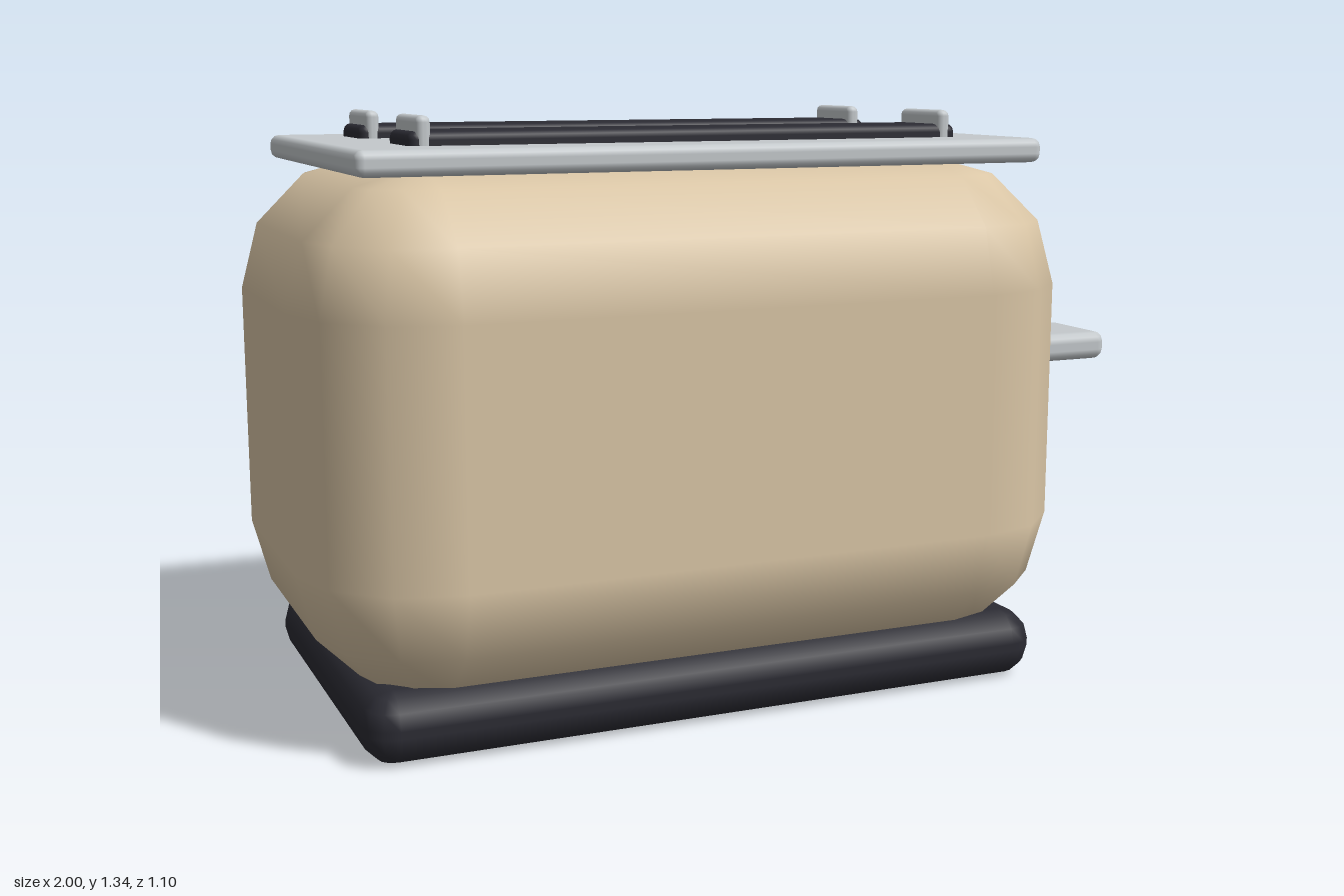
import * as THREE from 'three';

const cream = new THREE.MeshStandardMaterial({ name: 'cream enamel', color: 0xdac6a6 });
const steel = new THREE.MeshStandardMaterial({ name: 'brushed steel', color: 0xc4c9cc });
const dark = new THREE.MeshStandardMaterial({ name: 'dark plastic', color: 0x2b2b33 });

// Box with evenly stepped round edges: a sphere grid whose octants are pulled apart.
// Each corner has n steps of 90 / n degrees, and one column or row spans each flat.
function bevelledBox([x0, x1], [y0, y1], [z0, z1], r, n = 3) {
  const cols = 4 * (n + 1), rows = 2 * n + 3;
  const geometry = new THREE.SphereGeometry(1, cols, rows);
  const { position, normal } = geometry.attributes;
  const half = [(x1 - x0) / 2, (y1 - y0) / 2, (z1 - z0) / 2];
  const step = Math.PI / 2 / n;
  let v = 0;
  for (let j = 0; j <= rows; j++) {
    const isCap = j === 0 || j === rows;
    const top = j <= n + 1;
    const polar = (top ? Math.max(j - 1, 0) : Math.min(j - 2, 2 * n)) * step;
    for (let i = 0; i <= cols; i++, v++) {
      const q = Math.floor(i / (n + 1)) % 4;
      const turn = (q * n + (i % (n + 1))) * step;
      const nx = -Math.cos(turn) * Math.sin(polar);
      const ny = Math.cos(polar);
      const nz = Math.sin(turn) * Math.sin(polar);
      const sx = isCap ? 0 : (q === 1 || q === 2 ? 1 : -1);
      const sz = isCap ? 0 : (q < 2 ? 1 : -1);
      position.setXYZ(v,
        sx * (half[0] - r) + r * nx,
        (top ? 1 : -1) * (half[1] - r) + r * ny,
        sz * (half[2] - r) + r * nz);
      normal.setXYZ(v, nx, ny, nz);
    }
  }
  geometry.translate((x0 + x1) / 2, (y0 + y1) / 2, (z0 + z1) / 2);
  return geometry;
}

export function createModel() {
  const model = new THREE.Group();
  model.name = 'toaster';

  const add = (name, geometry, material) => {
    const mesh = new THREE.Mesh(geometry, material);
    mesh.name = name;
    model.add(mesh);
    return mesh;
  };

  // Housing, foot and top plate
  add('body', bevelledBox([-1, 0.805], [0.09, 1.23], [-0.55, 0.55], 0.295), cream);
  add('base', bevelledBox([-0.905, 0.715], [0, 0.157], [-0.47, 0.47], 0.07), dark);
  add('topPlate', bevelledBox([-0.89, 0.695], [1.22, 1.275], [-0.45, 0.45], 0.02), steel);

  // Two bread slots, each with a steel guide at both ends
  for (const z of [-0.22, 0.22]) {
    add('breadSlot', bevelledBox([-0.745, 0.55], [1.24, 1.305], [z - 0.088, z + 0.088], 0.018), dark);
    for (const x of [-0.713, 0.517]) {
      add('slotGuide', bevelledBox([x - 0.016, x + 0.016], [1.255, 1.337], [z - 0.091, z + 0.091], 0.014), steel);
    }
  }

  // Lever and its track on the left side
  add('leverTrack', bevelledBox([0.795, 0.855], [0.435, 0.955], [0.17, 0.22], 0.018), dark);
  add('lever', bevelledBox([0.795, 1], [0.725, 0.793], [0.09, 0.3], 0.025), steel);

  // Flattened browning knob
  const knob = add('knob', new THREE.SphereGeometry(1, 32, 20), steel);
  knob.scale.set(0.05, 0.148, 0.148);
  knob.position.set(0.848, 0.365, -0.193);

  return model;
}
